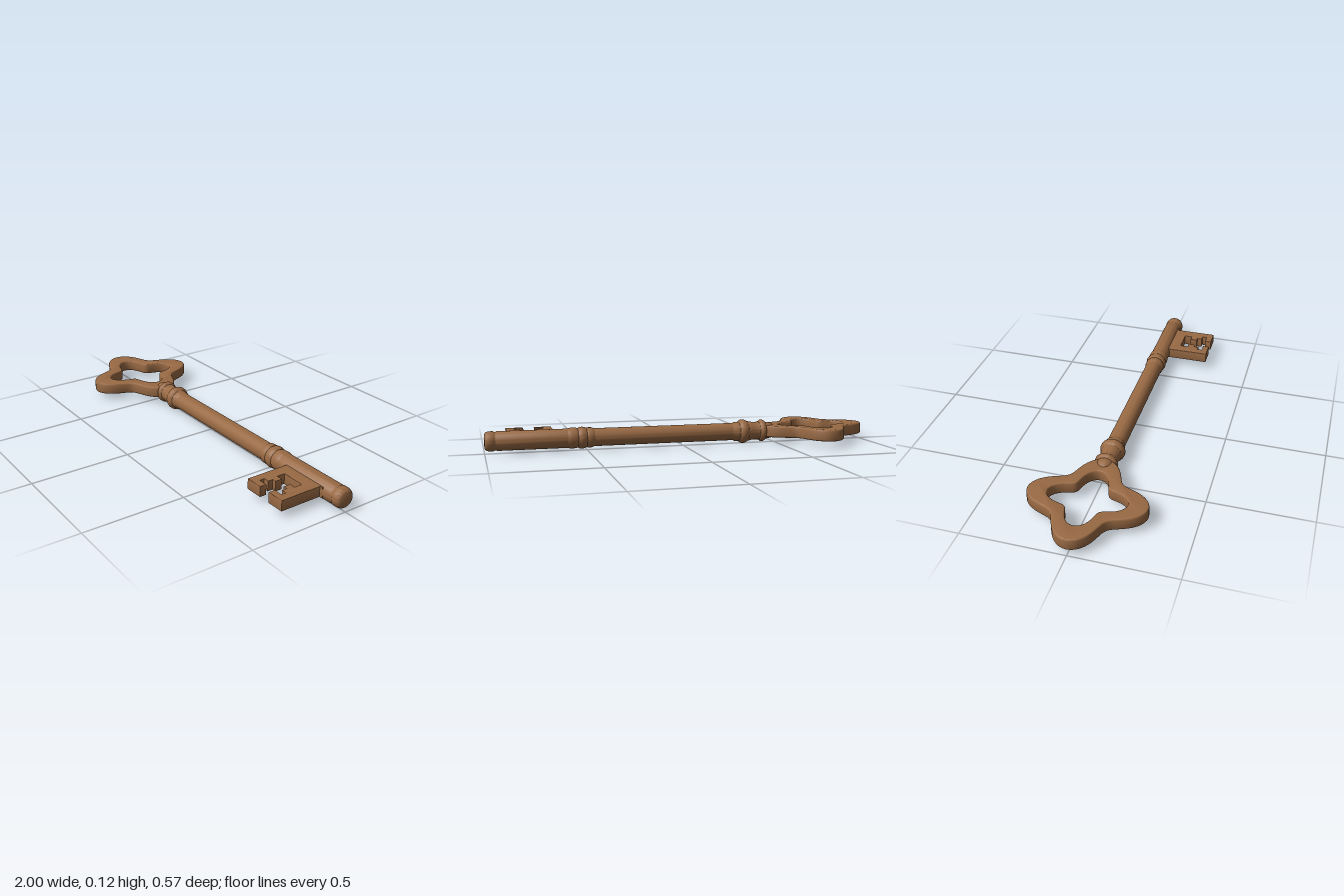
import * as THREE from 'three';
import { toCreasedNormals } from 'three/addons/utils/BufferGeometryUtils.js';

const AXIS_Y = 0.062; // height of the shaft axis
const BOW_X = -0.715;

// Four-lobed closed outline; lobes point along the axes
function quatrefoil(lobe, waist, n = 96) {
  const points = [];
  for (let i = 0; i < n; i++) {
    const a = (i / n) * Math.PI * 2;
    const r = (lobe + waist) / 2 + ((lobe - waist) / 2) * Math.cos(4 * a);
    points.push(new THREE.Vector2(BOW_X + r * Math.cos(a), r * Math.sin(a)));
  }
  return points;
}

// Extrude a plan outline (x, z) into a plate centred on the shaft axis
function plate(shape, thickness, bevel) {
  const depth = thickness - 2 * bevel;
  const geometry = new THREE.ExtrudeGeometry(shape, {
    depth, bevelEnabled: true, bevelThickness: bevel, bevelSize: bevel,
    bevelOffset: -bevel, bevelSegments: 3,
  });
  geometry.translate(0, 0, -depth / 2);
  geometry.rotateX(Math.PI / 2);
  geometry.translate(0, AXIS_Y, 0);
  return toCreasedNormals(geometry, 0.6);
}

export function createModel() {
  const bronze = new THREE.MeshStandardMaterial({ color: 0x996a44 });
  bronze.name = 'bronze';
  const group = new THREE.Group();
  group.name = 'key';
  const add = (name, geometry) => {
    const mesh = new THREE.Mesh(geometry, bronze);
    mesh.name = name;
    group.add(mesh);
  };

  // Bow: open four-lobed handle
  const bow = new THREE.Shape(quatrefoil(0.285, 0.185));
  bow.holes.push(new THREE.Path(quatrefoil(0.188, 0.112).reverse()));
  add('bow', plate(bow, 0.06, 0.008));

  // Turned pieces along the axis, each profile as [x, radius]
  const turned = (name, profile) => {
    const geometry = new THREE.LatheGeometry(
      profile.map(([x, r]) => new THREE.Vector2(r, x)), 40);
    geometry.rotateZ(-Math.PI / 2);
    geometry.translate(0, AXIS_Y, 0);
    add(name, toCreasedNormals(geometry, 0.7));
  };

  turned('bowCollar', [
    [-0.505, 0], [-0.502, 0.014], [-0.494, 0.03], [-0.48, 0.04], [-0.46, 0.044],
    [-0.445, 0.045], [-0.442, 0.052], [-0.434, 0.057], [-0.424, 0.057],
    [-0.416, 0.052], [-0.412, 0.047], [-0.39, 0.046], [-0.37, 0.048],
    [-0.352, 0.052], [-0.347, 0.052], [-0.34, 0.058], [-0.328, 0.062],
    [-0.316, 0.062], [-0.306, 0.057], [-0.3, 0.05], [-0.28, 0.05],
    [-0.27, 0.045], [-0.25, 0.044],
  ]);
  turned('shaft', [[-0.26, 0.045], [0.48, 0.045]]);
  turned('middleCollar', [
    [0.465, 0.045], [0.475, 0.05], [0.495, 0.051], [0.503, 0.048], [0.512, 0.053],
    [0.525, 0.055], [0.538, 0.053], [0.547, 0.048], [0.555, 0.051],
    [0.58, 0.052], [0.592, 0.05], [0.6, 0.047],
  ]);
  turned('tip', [
    [0.59, 0.048], [0.94, 0.048], [0.946, 0.045], [0.952, 0.045],
    [0.958, 0.049], [0.978, 0.049], [0.99, 0.046], [0.997, 0.04], [1, 0.034], [1, 0],
  ]);

  // Bit: stepped slot cut inward from the free edge, mirrored about its middle
  const middle = 0.768;
  const slot = [
    [0.029, 0.26], [0.029, 0.226], [0.074, 0.226], [0.074, 0.202],
    [0.048, 0.202], [0.048, 0.176], [0.028, 0.176], [0.028, 0.14],
    [0.058, 0.14], [0.058, 0.1],
  ];
  const half = [[0.117, 0.02], [0.117, 0.26], ...slot];
  const outline = [
    ...half.map(([x, z]) => new THREE.Vector2(middle + x, z)),
    ...half.reverse().map(([x, z]) => new THREE.Vector2(middle - x, z)),
  ];
  add('bit', plate(new THREE.Shape(outline), 0.053, 0.002));

  // Narrow mounting rib where the bit meets the shaft
  const rib = new THREE.BoxGeometry(0.25, 0.053, 0.02);
  rib.translate(middle + 0.008, AXIS_Y, 0.036);
  add('bitMount', rib);

  return group;
}
